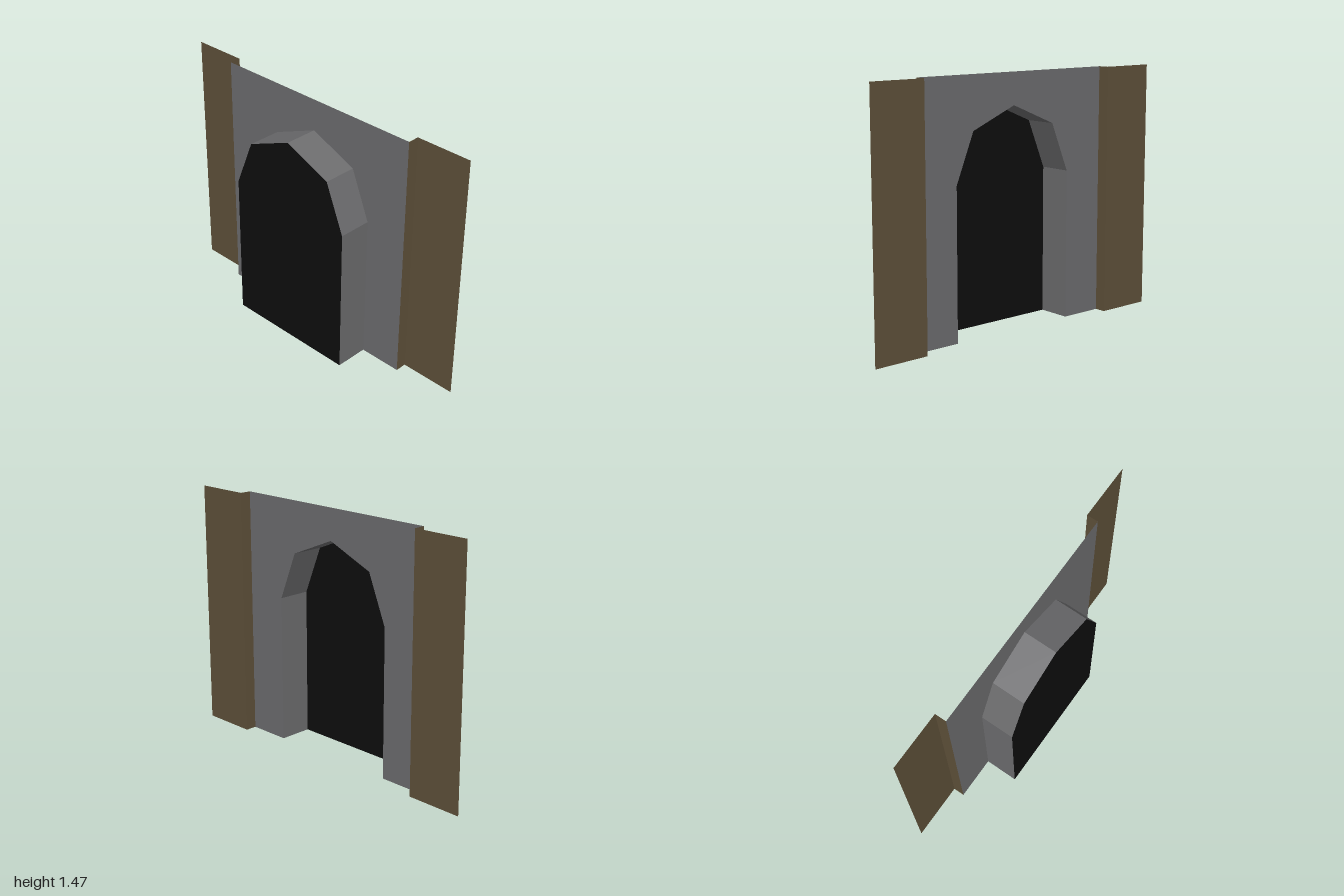
import * as THREE from 'three';

const HEIGHT = 1.465, WALL_X = 0.066, FRONT_X = 0.133, BACK_X = -0.133;
const WALL_Z = 0.665, END_Z = 1;

const material = (color) => new THREE.MeshStandardMaterial({ color, side: THREE.DoubleSide, flatShading: true });

// Sweeps a polyline of [x, y, z] points along an offset into a flat-faceted strip
function ribbon(points, offset) {
  const positions = [];
  for (let i = 0; i < points.length - 1; i++) {
    const a = points[i], b = points[i + 1];
    const c = b.map((v, k) => v + offset[k]), d = a.map((v, k) => v + offset[k]);
    positions.push(...a, ...b, ...c, ...a, ...c, ...d);
  }
  const geometry = new THREE.BufferGeometry();
  geometry.setAttribute('position', new THREE.Float32BufferAttribute(positions, 3));
  geometry.computeVertexNormals();
  return geometry;
}

export function createModel() {
  const group = new THREE.Group();
  const add = (name, geometry, mat) => {
    const mesh = new THREE.Mesh(geometry, mat);
    mesh.name = name;
    group.add(mesh);
  };
  const stone = material(0x6c6c6e), wood = material(0x5e5039), dark = material(0x0d0d0d);

  // Faceted arch outline as [z, y]
  const arch = [[-0.407, 0], [-0.407, 0.875], [-0.29, 1.16], [0, 1.28], [0.29, 1.16], [0.407, 0.875], [0.407, 0]];
  const archPoints = arch.map(([z, y]) => new THREE.Vector2(z, y));

  // Wall sheet whose outline steps around the doorway
  const wallShape = new THREE.Shape([
    new THREE.Vector2(-WALL_Z, 0), ...archPoints, new THREE.Vector2(WALL_Z, 0),
    new THREE.Vector2(WALL_Z, HEIGHT), new THREE.Vector2(-WALL_Z, HEIGHT),
  ]);
  add('wall', new THREE.ShapeGeometry(wallShape).rotateY(Math.PI / 2).translate(WALL_X, 0, 0), stone);

  // Recess lining, open at the bottom, and its dark back
  add('doorwayLining', ribbon(arch.map(([z, y]) => [WALL_X, y, z]), [BACK_X - WALL_X, 0, 0]), stone);
  add('doorwayBack',
    new THREE.ShapeGeometry(new THREE.Shape(archPoints)).rotateY(Math.PI / 2).translate(BACK_X, 0, 0), dark);

  // Raised side posts: a face and a return to the wall
  const post = [[FRONT_X, 0, END_Z], [FRONT_X, 0, WALL_Z], [WALL_X, 0, WALL_Z]];
  const mirrored = post.map(([x, y, z]) => [x, y, -z]).reverse();
  add('frontPost', ribbon(post, [0, HEIGHT, 0]), wood);
  add('backPost', ribbon(mirrored, [0, HEIGHT, 0]), wood);

  return group;
}
